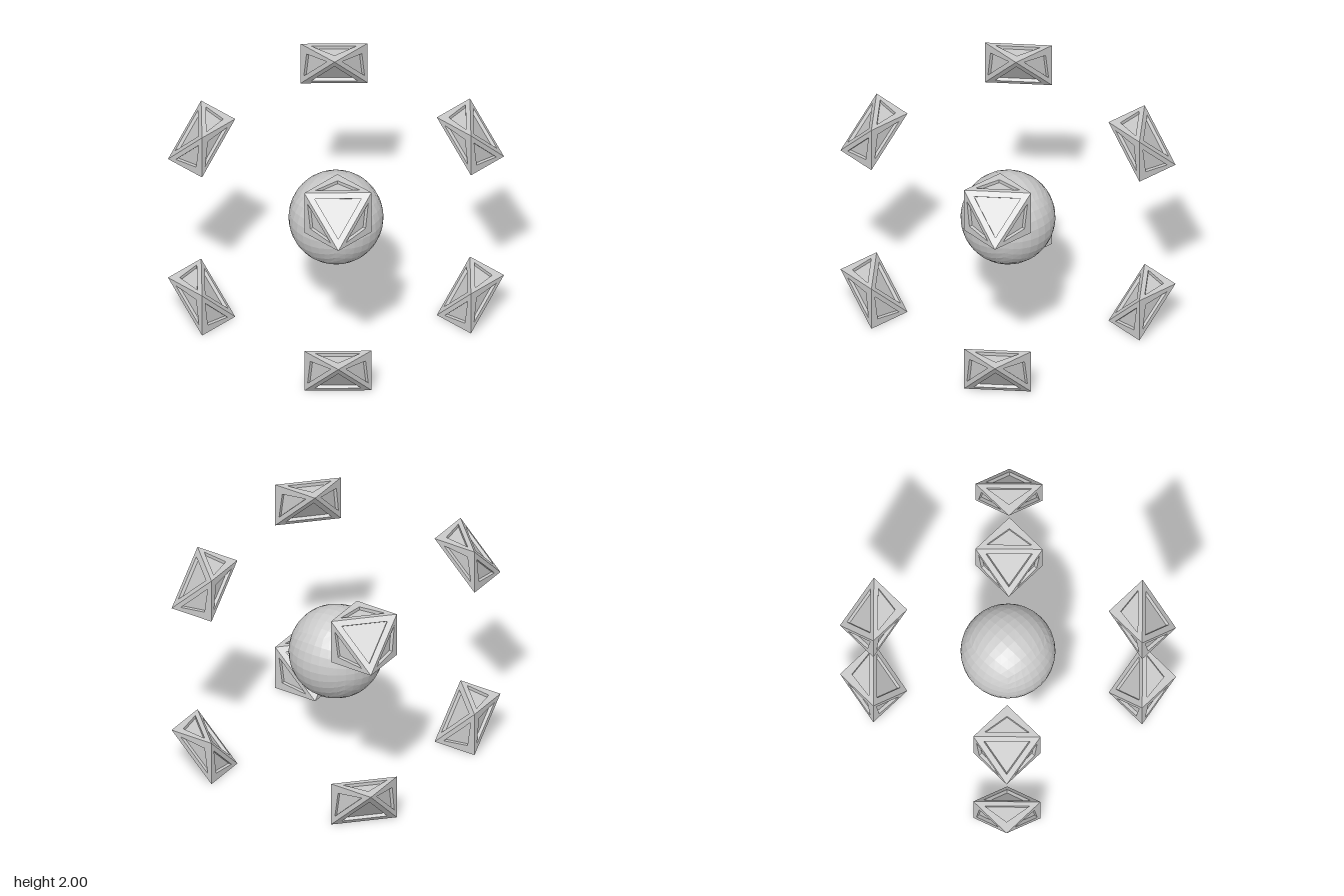
import * as THREE from 'three';

const INSET = 0.1;   // how far each panel corner moves along its bisector
const DEPTH = 0.03;  // panel recess depth
const H = 0.2;       // half size of a corner gem

// Ball made from a rounded-out cube grid
function ballGeometry(radius) {
  const geo = new THREE.BoxGeometry(1, 1, 1, 8, 8, 8);
  const p = geo.attributes.position;
  const v = new THREE.Vector3();
  for (let i = 0; i < p.count; i++) {
    v.fromBufferAttribute(p, i);
    v.set(...v.toArray().map((c) => Math.tan(c * Math.PI / 2))).setLength(radius);
    p.setXYZ(i, v.x, v.y, v.z);
  }
  const flat = geo.toNonIndexed();
  flat.computeVertexNormals();
  return flat;
}

// Cube with two opposite corners cut off, each of the 8 triangles carrying a sunken panel
function gemGeometry() {
  const positions = [];
  const push = (...pts) => pts.forEach((q) => positions.push(q.x, q.y, q.z));
  const quad = (a, b, c, d) => push(a, b, c, a, c, d);

  function panel(corners) {
    let [a, b, c] = corners;
    const n = b.clone().sub(a).cross(c.clone().sub(a)).normalize();
    if (n.dot(a) < 0) {
      [b, c] = [c, b];
      n.negate();
    }
    const outer = [a, b, c];
    const rim = outer.map((q, i) => {
      const toNext = outer[(i + 1) % 3].clone().sub(q).normalize();
      const toPrev = outer[(i + 2) % 3].clone().sub(q).normalize();
      return toNext.add(toPrev).setLength(INSET).add(q);
    });
    const floor = rim.map((q) => q.clone().addScaledVector(n, -DEPTH));
    for (let i = 0; i < 3; i++) {
      const j = (i + 1) % 3;
      quad(outer[i], outer[j], rim[j], rim[i]);
      quad(rim[i], rim[j], floor[j], floor[i]);
    }
    push(...floor);
  }

  const axes = ['x', 'y', 'z'];
  // near[i] has one negative coordinate, far[i] has one positive coordinate
  const near = axes.map((k) => {
    const q = new THREE.Vector3(H, H, H);
    q[k] = -H;
    return q;
  });
  const far = near.map((q) => q.clone().negate());
  panel(near);
  panel(far);
  for (let i = 0; i < 3; i++) {
    const j = (i + 1) % 3, k = (i + 2) % 3;
    panel([near[i], near[j], far[k]]);
    panel([far[i], far[j], near[k]]);
  }

  const geo = new THREE.BufferGeometry();
  geo.setAttribute('position', new THREE.Float32BufferAttribute(positions, 3));
  geo.computeVertexNormals();
  return geo;
}

export function createModel() {
  const model = new THREE.Group();
  model.name = 'ballWithCornerGems';
  const material = new THREE.MeshStandardMaterial({ color: 0xcccccc, flatShading: true });

  const ball = new THREE.Mesh(ballGeometry(0.4), material);
  ball.name = 'centreBall';
  ball.position.y = 1;
  model.add(ball);

  // Eight gems, four above and four below, each pointing away from the ball
  const gem = gemGeometry();
  for (const level of ['upper', 'lower']) {
    for (let k = 0; k < 4; k++) {
      const mesh = new THREE.Mesh(gem, material);
      mesh.name = `${level}CornerGem${k + 1}`;
      mesh.rotation.set(level === 'lower' ? Math.PI : 0, k * Math.PI / 2, 0);
      mesh.position.set(0.8, 0.8, 0.8).applyEuler(mesh.rotation);
      mesh.position.y += 1;
      model.add(mesh);
    }
  }
  return model;
}
